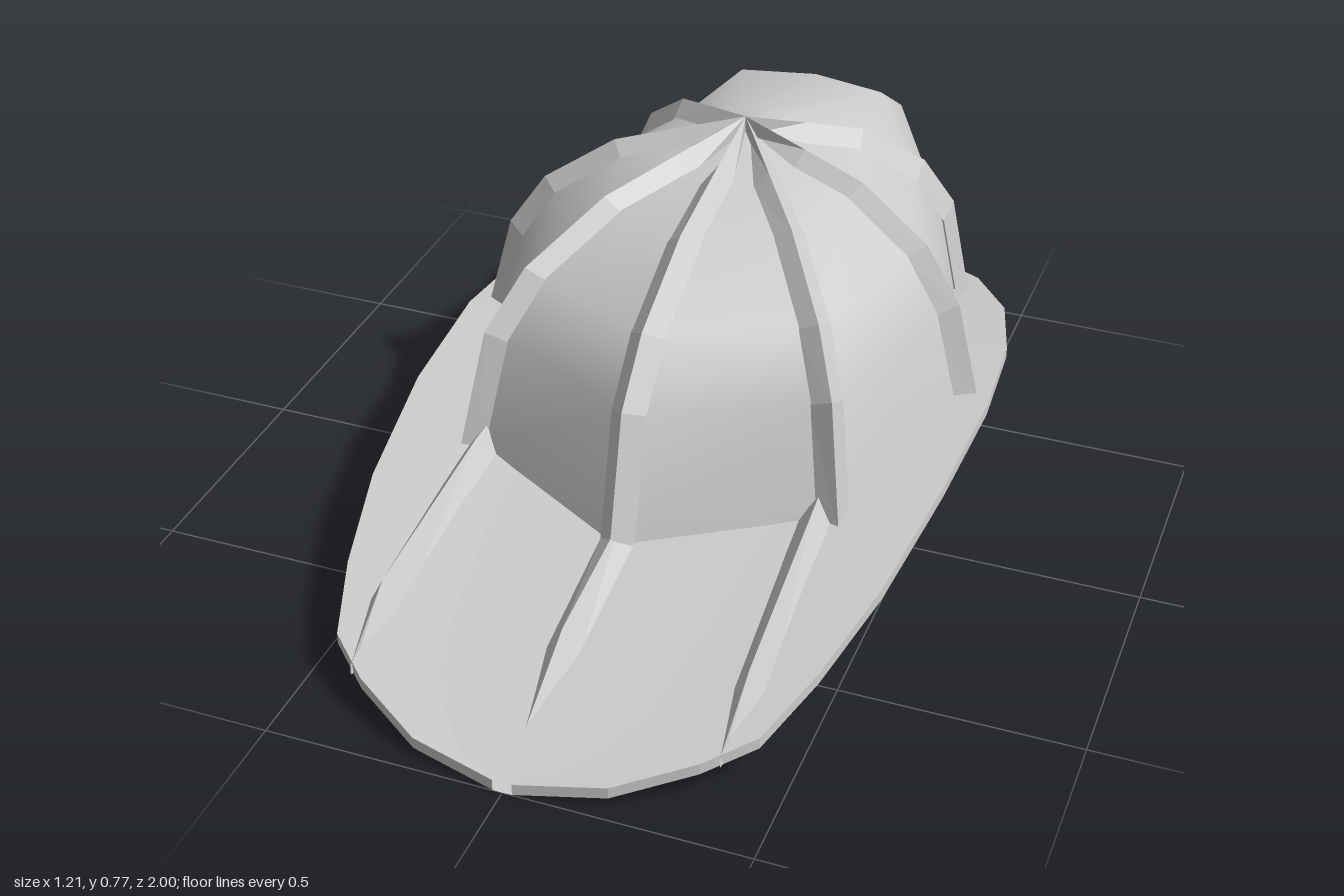
import * as THREE from 'three';

const shell = new THREE.MeshStandardMaterial({ color: 0xcccccc, side: THREE.DoubleSide });
shell.name = 'light grey shell';

const APEX_Z = -0.35;
// Dome profile: fraction of the radius, height (the last one sits on the brim)
const PROFILE = [[0, 0.77], [0.25, 0.73], [0.49, 0.69], [0.76, 0.585], [0.9, 0.465], [1, null]];
// Brim stations: z, half width, height of the upper edge
const BRIM = [
  [-1, 0.03, 0.16], [-0.985, 0.11, 0.163], [-0.945, 0.22, 0.172], [-0.8, 0.43, 0.205],
  [-0.65, 0.53, 0.23], [-0.45, 0.585, 0.252], [-0.2, 0.605, 0.263], [0.1, 0.592, 0.245],
  [0.4, 0.555, 0.195], [0.63, 0.5, 0.145], [0.8, 0.44, 0.105], [0.88, 0.35, 0.08],
  [0.965, 0.2, 0.045], [1, 0.02, 0.026],
];

function brimHeight(z) {
  for (let i = 1; i < BRIM.length; i++) {
    const [z0, , y0] = BRIM[i - 1], [z1, , y1] = BRIM[i];
    if (z <= z1) return y0 + (y1 - y0) * (z - z0) / (z1 - z0);
  }
  return BRIM[BRIM.length - 1][2];
}

// Surface through rows of points, flat or smooth
function loft(name, rows, smooth = false, closed = false) {
  const n = rows[0].length, index = [];
  for (let i = 0; i < rows.length - 1; i++) {
    for (let j = 0; j < (closed ? n : n - 1); j++) {
      const a = i * n + j, b = i * n + (j + 1) % n;
      index.push(a, a + n, b, b, a + n, b + n);
    }
  }
  let geo = new THREE.BufferGeometry();
  geo.setAttribute('position', new THREE.Float32BufferAttribute(rows.flat(2), 3));
  geo.setIndex(index);
  if (!smooth) geo = geo.toNonIndexed();
  geo.computeVertexNormals();
  const mesh = new THREE.Mesh(geo, shell);
  mesh.name = name;
  return mesh;
}

// Points from the apex to a base point, set in by a depth and moved sideways
function spoke([bx, bz], inset = 0, side = 0) {
  const dx = bx, dz = bz - APEX_Z, len = Math.hypot(dx, dz);
  const ux = dx / len, uz = dz / len;
  return PROFILE.map(([u, y], i) => {
    const r = Math.max(0, u * len - inset * u), s = i === 0 ? 0 : side;
    const z = APEX_Z + uz * r + ux * s;
    return [ux * r - uz * s, y === null ? brimHeight(bz) - 0.02 : y - inset * (1 - 0.5 * u), z];
  });
}

// Raised seam with a sharp crest
function seam(base) {
  const left = spoke(base, 0.045, -0.037), crest = spoke(base), right = spoke(base, 0.045, 0.037);
  return loft('seamRidge', crest.map((p, i) => [left[i], p, right[i]]));
}

// Tapered rib lying on the brim; stations are x, z, crest height, half width
function brimRib(stations) {
  return loft('brimRib', stations.map(([x, z, y, w]) => {
    const low = brimHeight(z) - 0.022;
    return [[x + w, low, z], [x, y, z], [x - w, low, z]];
  }));
}

export function createModel() {
  const model = new THREE.Group();
  model.name = 'helmet';

  // Curved brim slab, closed underneath
  const cols = [-1, -0.5, 0, 0.5, 1];
  const brimRows = BRIM.map(([z, w, y]) => {
    const sag = 0.02 * Math.min(1, w / 0.5);
    const at = (t, drop) => [t * w, y - drop - sag * (1 - t * t), z];
    return [...cols.map(t => at(t, 0)), ...cols.slice().reverse().map(t => at(t, 0.025))];
  });
  model.add(loft('brim', brimRows, false, true));

  // Dome panels and seams, mirrored left and right
  const bases = [[0, 0.46], [0.42, 0.26], [0.575, -0.24], [0.43, -0.72]];
  const mirror = ([x, z]) => [-x, z];
  model.add(seam(bases[0]));
  for (let i = 1; i < bases.length; i++) {
    model.add(seam(bases[i]), seam(mirror(bases[i])));
    model.add(loft('domePanel', [spoke(bases[i - 1], 0.035), spoke(bases[i], 0.035)], true));
    model.add(loft('domePanel', [spoke(mirror(bases[i]), 0.035), spoke(mirror(bases[i - 1]), 0.035)], true));
  }

  // Boxy rear bulge between the two back seams
  const bulge = [[0, 0.745], [0.17, 0.71], [0.5, 0.64], [0.585, 0.575], [0.602, 0.5], [0.585, 0.17]];
  const bulgeAt = (angle, k) => bulge.map(([r, y]) =>
    [Math.sin(angle) * r * k, y, APEX_Z - Math.cos(angle) * r * k]);
  const back = bases[3];
  model.add(loft('rearBulge', [
    spoke(back, 0.035), bulgeAt(0.35, 0.985), bulgeAt(0, 1), bulgeAt(-0.35, 0.985),
    spoke(mirror(back), 0.035),
  ], true));

  // Three reinforcing ribs on the front of the brim
  model.add(brimRib([[0, 0.4, 0.212, 0.038], [0, 0.7, 0.165, 0.036], [0, 0.94, 0.035, 0.001]]));
  for (const s of [1, -1]) {
    model.add(brimRib([
      [s * 0.365, 0.2, 0.258, 0.04], [s * 0.37, 0.28, 0.252, 0.04],
      [s * 0.385, 0.7, 0.18, 0.038], [s * 0.382, 0.86, 0.085, 0.001],
    ]));
  }
  return model;
}
